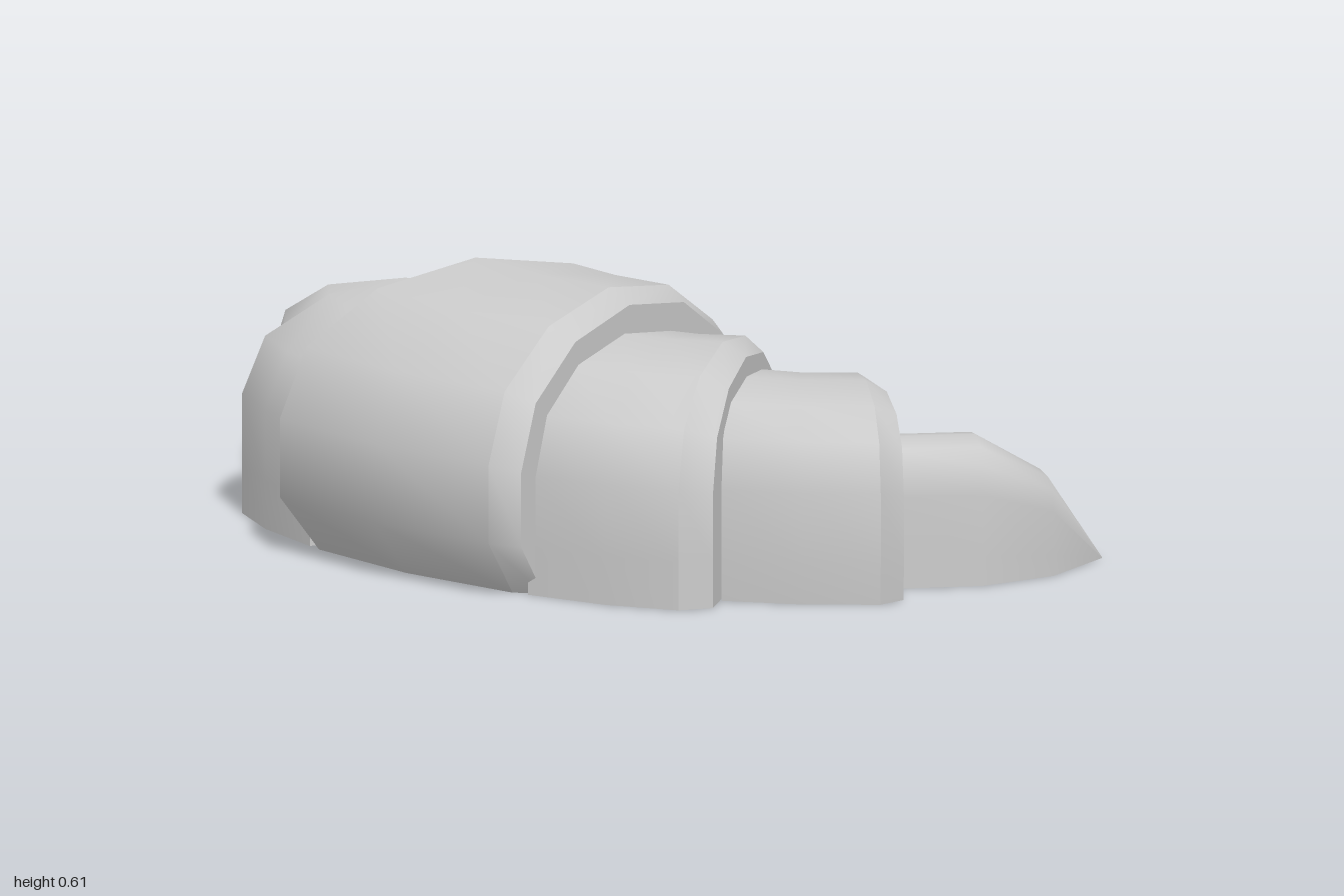
import * as THREE from 'three';
import { mergeGeometries } from 'three/addons/utils/BufferGeometryUtils.js';

const material = new THREE.MeshStandardMaterial({ color: 0xcccccc });

// Arched cross-section: u runs -1 (outer side) to 1 (inner side), v runs 0 to 1.
// foot = width at the floor, shoulder = where the arch begins, p < 1 = squarer arch.
function archProfile({ foot, shoulder, p }) {
  const points = [[-foot, 0], [-1, 0.21]];
  for (let i = 0; i <= 6; i++) {
    const a = Math.PI * (1 - i / 6), c = Math.cos(a);
    const u = Math.sign(c) * Math.pow(Math.abs(c), p);
    const s = Math.pow(Math.max(0, Math.sin(a)), p);
    points.push([u, shoulder + (1 - shoulder) * s]);
  }
  points.push([1, 0.21], [foot, 0]);
  return points;
}

// A section is [outerX, outerZ, innerX, innerZ, height], standing upright on that line.
function ring([ox, oz, ix, iz, h], profile) {
  return profile.map(([u, v]) => {
    const t = (u + 1) / 2;
    return [ox + (ix - ox) * t, h * v, oz + (iz - oz) * t];
  });
}

function surface(points, index) {
  const g = new THREE.BufferGeometry();
  g.setAttribute('position', new THREE.Float32BufferAttribute(points.flat(), 3));
  g.setIndex(index);
  g.computeVertexNormals();
  return g;
}

// Smooth skin between consecutive rings
function skin(rings) {
  const n = rings[0].length, index = [];
  for (let i = 0; i < rings.length - 1; i++) {
    for (let j = 0; j < n - 1; j++) {
      const a = i * n + j, c = a + n;
      index.push(a, c, a + 1, a + 1, c, c + 1);
    }
  }
  return surface(rings.flat(), index);
}

// Flat end closing a ring
function cap(points, facesForward) {
  const index = [];
  for (let j = 1; j < points.length - 1; j++) {
    index.push(0, facesForward ? j + 1 : j, facesForward ? j : j + 1);
  }
  return surface(points, index);
}

// Flat underside
function floor(rings) {
  const index = [];
  for (let i = 0; i < rings.length - 1; i++) {
    const a = 2 * i;
    index.push(a, a + 1, a + 2, a + 1, a + 3, a + 2);
  }
  return surface(rings.flatMap(r => [r[0], r[r.length - 1]]), index);
}

// One closed roll made of bands; edges between bands stay sharp.
function roll(name, bands, shape, side = 1) {
  const profile = archProfile(shape);
  let rings = bands.map(band => band.map(s =>
    ring([s[0], s[1] * side, s[2], s[3] * side, s[4]], profile)));
  if (side < 0) rings = rings.reverse().map(b => b.reverse());
  const all = rings.flat();
  const geometry = mergeGeometries([
    ...rings.map(skin), floor(all), cap(all[0], false), cap(all[all.length - 1], true),
  ]);
  const mesh = new THREE.Mesh(geometry, material);
  mesh.name = name;
  return mesh;
}

const mirrorZ = ([ox, oz, ix, iz, h]) => [ox, -oz, ix, -iz, h];

export function createModel() {
  const group = new THREE.Group();
  group.name = 'croissant';

  // Widest roll in the middle, with a bevelled rim on both sides
  const rim = [-0.615, 0.325, 0.34, 0.09, 0.605];
  const rimEnd = [-0.565, 0.375, 0.33, 0.13, 0.57];
  const middle = [-0.645, 0, 0.33, 0, 0.605];
  group.add(roll('centreRoll', [
    [mirrorZ(rimEnd), mirrorZ(rim)],
    [mirrorZ(rim), middle, rim],
    [rim, rimEnd],
  ], { foot: 0.8, shoulder: 0.5, p: 1 }));

  for (const side of [1, -1]) {
    const label = side > 0 ? 'front' : 'back';

    // Second roll
    const midRim = [-0.385, 0.68, 0.3, 0.25, 0.51];
    group.add(roll(label + 'MiddleRoll', [
      [[-0.51, 0.34, 0.22, 0.13, 0.51], [-0.46, 0.53, 0.245, 0.19, 0.51], midRim],
      [midRim, [-0.315, 0.715, 0.28, 0.31, 0.48]],
    ], { foot: 1, shoulder: 0.52, p: 0.95 }, side));

    // Third roll
    const outerRim = [-0.035, 0.95, 0.33, 0.485, 0.435];
    group.add(roll(label + 'OuterRoll', [
      [[-0.255, 0.68, 0.21, 0.3, 0.435], [-0.155, 0.83, 0.25, 0.4, 0.435], outerRim],
      [outerRim, [0.035, 0.95, 0.325, 0.545, 0.41]],
    ], { foot: 0.98, shoulder: 0.57, p: 0.8 }, side));

    // Pointed tip
    group.add(roll(label + 'Tip', [[
      [0.09, 0.845, 0.24, 0.635, 0.31],
      [0.26, 0.965, 0.41, 0.765, 0.31],
      [0.44, 1.0, 0.51, 0.845, 0.22],
      [0.64, 0.945, 0.641, 0.944, 0.002],
    ]], { foot: 1, shoulder: 0.65, p: 0.75 }, side));
  }
  return group;
}
